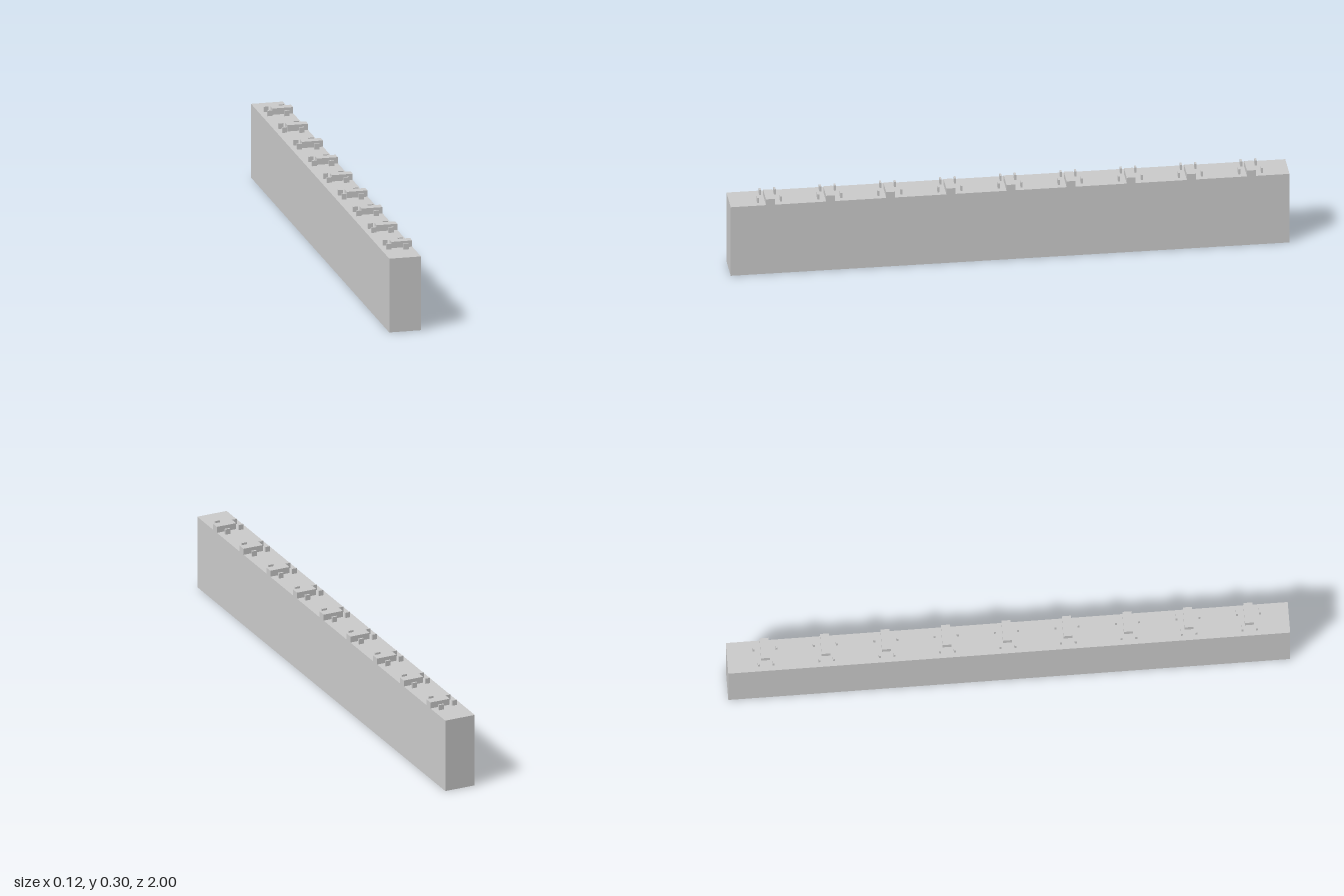
import * as THREE from 'three';

const material = new THREE.MeshStandardMaterial({ color: 0xcccccc, flatShading: true, side: THREE.DoubleSide });

// Box spanning x0..x1, y0..y1, centred on z
function box(name, x0, x1, y0, y1, z, depth) {
  const mesh = new THREE.Mesh(new THREE.BoxGeometry(x1 - x0, y1 - y0, depth), material);
  mesh.position.set((x0 + x1) / 2, (y0 + y1) / 2, z);
  mesh.name = name;
  return mesh;
}

export function createModel() {
  const model = new THREE.Group();
  model.name = 'wallWithBenches';
  const halfWidth = 0.058, wallTop = 0.273;

  // Long hollow wall, open underneath (the -y face is dropped)
  const wall = box('wall', -halfWidth, halfWidth, 0, wallTop, 0, 2);
  const index = Array.from(wall.geometry.index.array);
  index.splice(18, 6);
  wall.geometry.setIndex(index);
  wall.geometry.clearGroups();
  model.add(wall);

  // Row of nine cross blocks, each with two pairs of small posts
  const count = 9, spacing = 0.2152;
  for (let i = 0; i < count; i++) {
    const unit = new THREE.Group();
    unit.name = 'blockUnit' + (i + 1);
    unit.position.z = (i - (count - 1) / 2) * spacing - 0.003;
    unit.add(box('crossBlock', -0.018, halfWidth, wallTop, 0.296, 0, 0.032));
    for (const side of [-1, 1]) {
      unit.add(box('innerPost', -0.04, -0.022, wallTop, 0.293, side * 0.026, 0.007));
      unit.add(box('outerPost', 0.019, 0.038, wallTop, 0.293, side * 0.041, 0.007));
    }
    model.add(unit);
  }
  return model;
}
